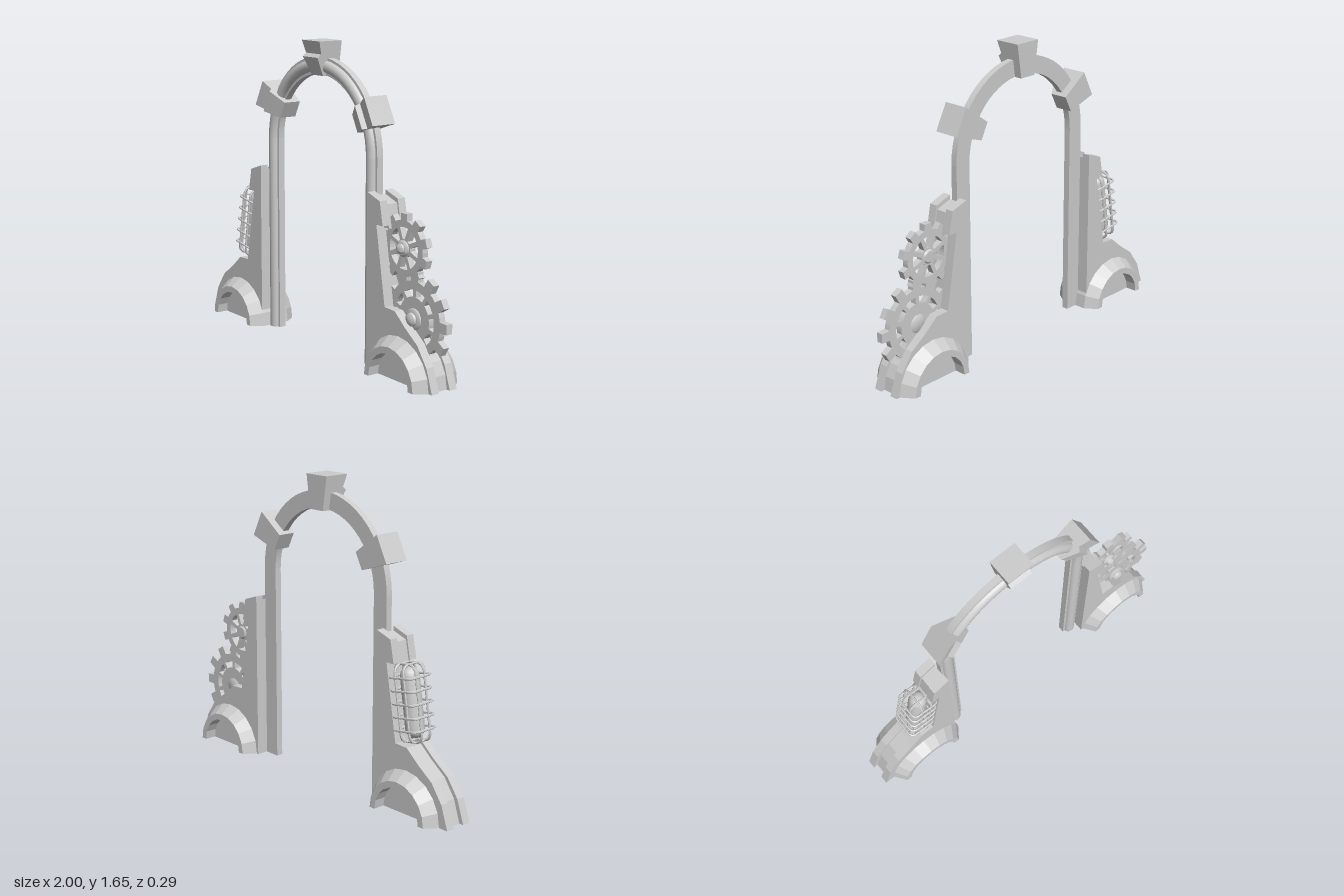
import * as THREE from 'three';
import { toCreasedNormals } from 'three/addons/utils/BufferGeometryUtils.js';

const CX = -0.016;      // symmetry line of the gateway
const SPRING = 1.085;   // height where the arch starts to curve
const smooth = new THREE.MeshStandardMaterial({ color: 0xcccccc });
const flat = new THREE.MeshStandardMaterial({ color: 0xcccccc, flatShading: true });

const shapeOf = pts => new THREE.Shape(pts.map(p => new THREE.Vector2(p[0], p[1])));

function add(parent, name, geo, mat = flat) {
  const mesh = new THREE.Mesh(mat === smooth ? toCreasedNormals(geo, 0.6) : geo, mat);
  mesh.name = name;
  parent.add(mesh);
  return mesh;
}

// Plate in the xy plane between two z depths
function slab(shape, z0, z1) {
  return new THREE.ExtrudeGeometry(shape, { depth: z1 - z0, bevelEnabled: false, curveSegments: 8 }).translate(0, 0, z0);
}

// Half turn about the z axis of a counter-clockwise (radius, z) outline
function halfTurn(outline, segments) {
  const pts = [...outline, outline[0]].map(([r, z]) => new THREE.Vector2(r, -z)).reverse();
  return new THREE.LatheGeometry(pts, segments, -Math.PI / 2, Math.PI).rotateX(-Math.PI / 2);
}

// Arch rail: flat band with a rounded bead along the front
function buildRail(parent) {
  const mid = 0.4335, w = 0.046, bead = [];
  for (let i = 0; i <= 8; i++) {
    const a = Math.PI * i / 8;
    bead.push([mid + 0.032 * Math.cos(a), 0.022 + 0.026 * Math.sin(a)]);
  }
  const outline = [[mid - w, -0.015], [mid + w, -0.015], [mid + w, 0.022], ...bead, [mid - w, 0.022]];
  add(parent, 'archRail', halfTurn(outline, 28).translate(CX, SPRING, 0), smooth);
  for (const s of [-1, 1]) {
    const post = shapeOf(outline.map(([r, z]) => [r - mid, z]));
    const geo = slab(post, 0, SPRING).rotateX(Math.PI / 2).translate(CX + s * mid, SPRING, 0);
    add(parent, s < 0 ? 'rightRailPost' : 'leftRailPost', geo, smooth);
  }
}

// Wedge block whose width shrinks toward the arch centre
function wedgeGeometry() {
  const side = shapeOf([[-0.059, 0.382], [0.042, 0.382], [0.088, 0.48], [0.066, 0.497], [0.085, 0.565], [-0.059, 0.565]]);
  const geo = slab(side, -0.5, 0.5).rotateY(-Math.PI / 2);
  const p = geo.attributes.position;
  for (let i = 0; i < p.count; i++) {
    const t = (p.getY(i) - 0.382) / 0.183;
    p.setX(i, p.getX(i) * (0.098 + 0.057 * t));
  }
  geo.computeVertexNormals();
  return geo;
}

function buildBlocks(parent) {
  [['keystone', 0, 0], ['rightArchBlock', 1.1, -0.022], ['leftArchBlock', -1.1, -0.022]].forEach(([name, turn, lift]) => {
    const geo = wedgeGeometry().translate(0, lift, 0).rotateZ(turn).translate(CX, SPRING, 0);
    add(parent, name, geo);
  });
}

// Buttress: two outer plates around a slightly smaller core, with a wheel arch
const buttressOutline = [[0.479, 0], [0.988, 0], [0.945, 0.125], [0.875, 0.222], [0.78, 0.29], [0.7, 0.357],
  [0.62, 0.36], [0.55, 0.77], [0.6, 0.77], [0.575, 0.893], [0.479, 0.925]];

function buildButtress(parent, s) {
  const g = new THREE.Group();
  g.name = s < 0 ? 'rightButtress' : 'leftButtress';
  const outline = k => {
    const pts = buttressOutline.map(([u, y]) => [CX + s * (0.479 + (u - 0.479) * k), y * (k + 1) / 2]);
    return shapeOf(pts);
  };
  add(g, 'frontPlate', slab(outline(1), 0.036, 0.082));
  add(g, 'backPlate', slab(outline(1), -0.08, -0.034));
  add(g, 'core', slab(outline(0.95), -0.034, 0.036));

  // Faceted half ring standing out on both faces
  const ring = [[0.155, -0.146], [0.19, -0.146], [0.237, -0.08], [0.237, 0.08], [0.19, 0.146], [0.155, 0.146]];
  const x = s * 0.712;
  add(g, 'wheelArch', halfTurn(ring, 10).translate(x, 0, 0));
  for (const turn of [0, Math.PI]) {
    add(g, 'wheelArchFoot', new THREE.ShapeGeometry(shapeOf(ring)).rotateX(Math.PI / 2).rotateY(turn).translate(x, 0, 0));
  }
  parent.add(g);
}

// Toothed wheel with windows between its spokes and a domed hub
function buildGear(parent, name, o) {
  const g = new THREE.Group();
  g.name = name;
  const polar = (r, a) => [r * Math.cos(a), r * Math.sin(a)];
  const step = Math.PI * 2 / o.teeth, pts = [];
  for (let i = 0; i < o.teeth; i++) {
    const a = i * step + o.phase;
    pts.push(polar(o.root, a - step * 0.27), polar(o.tip, a - step * 0.2), polar(o.tip, a + step * 0.2),
      polar(o.root, a + step * 0.27), polar(o.root, a + step * 0.5));
  }
  const shape = shapeOf(pts);
  const wStep = Math.PI * 2 / o.spokes;
  for (let i = 0; i < o.spokes; i++) {
    const hole = [], a = i * wStep, half = wStep / 2;
    for (let k = -2; k <= 2; k++) hole.push(polar(o.winOut, a + k / 2 * (half - 0.011 / o.winOut)));
    for (let k = 2; k >= -2; k--) hole.push(polar(o.winIn, a + k / 2 * (half - 0.011 / o.winIn)));
    shape.holes.push(new THREE.Path(hole.map(p => new THREE.Vector2(...p))));
  }
  add(g, 'toothedWheel', slab(shape, -0.018, 0.018));
  const h = o.hub;
  const profile = [[0, -0.026], [h * 0.7, -0.026], [h, -0.015], [h, 0.026], [h * 0.75, 0.034], [h * 0.65, 0.034],
    [h * 0.6, 0.046], [h * 0.35, 0.054], [0, 0.057]].map(p => new THREE.Vector2(...p));
  add(g, 'hub', new THREE.LatheGeometry(profile, 20).rotateX(Math.PI / 2), smooth);
  g.position.set(o.x, o.y, 0);
  parent.add(g);
}

// Closed rounded rectangle of wire in the xy plane
function wireLoop(w, h, r) {
  const path = new THREE.CurvePath();
  const V = (x, y) => new THREE.Vector3(x, y, 0);
  const corners = [[1, 1], [-1, 1], [-1, -1], [1, -1]];
  corners.forEach(([sx, sy], i) => {
    const c = V(sx * w, sy * h);
    const along = i % 2 === 0 ? [V(0, -sy * r), V(-sx * r, 0)] : [V(-sx * r, 0), V(0, -sy * r)];
    const [a, b] = along.map(v => v.add(c));
    const [nx, ny] = corners[(i + 1) % 4];
    const next = V(nx * w, ny * h).add(i % 2 === 0 ? V(-nx * r, 0) : V(0, -ny * r));
    path.add(new THREE.QuadraticBezierCurve3(a, c, b));
    path.add(new THREE.LineCurve3(b, next));
  });
  return new THREE.TubeGeometry(path, 64, 0.0065, 6, true);
}

// Caged lamp leaning against the right buttress
function buildLamp(parent) {
  const g = new THREE.Group();
  g.name = 'cagedLamp';
  add(g, 'lampTube', new THREE.CapsuleGeometry(0.05, 0.27, 6, 16), smooth);
  for (const s of [-1, 1]) {
    add(g, 'cageSideLoop', wireLoop(0.074, 0.2, 0.05).translate(0, 0, s * 0.03), smooth);
    add(g, 'cageCrossLoop', wireLoop(0.074, 0.2, 0.05).rotateY(Math.PI / 2).translate(s * 0.03, 0, 0), smooth);
  }
  for (let i = -2; i <= 2; i++) {
    add(g, 'cageRing', wireLoop(0.08, 0.076, 0.03).rotateX(Math.PI / 2).translate(0, i * 0.068, 0), smooth);
  }
  g.position.set(-0.674, 0.57, 0);
  g.rotation.z = -0.16;
  parent.add(g);
}

export function createModel() {
  const model = new THREE.Group();
  model.name = 'archGateway';
  buildRail(model);
  buildBlocks(model);
  for (const s of [-1, 1]) buildButtress(model, s);
  buildGear(model, 'upperGear', { x: 0.671, y: 0.666, teeth: 10, phase: Math.PI / 2, tip: 0.178, root: 0.143,
    spokes: 8, winIn: 0.048, winOut: 0.108, hub: 0.042 });
  buildGear(model, 'lowerGear', { x: 0.757, y: 0.323, teeth: 12, phase: 0, tip: 0.243, root: 0.193,
    spokes: 10, winIn: 0.112, winOut: 0.148, hub: 0.055 });
  buildLamp(model);
  return model;
}
